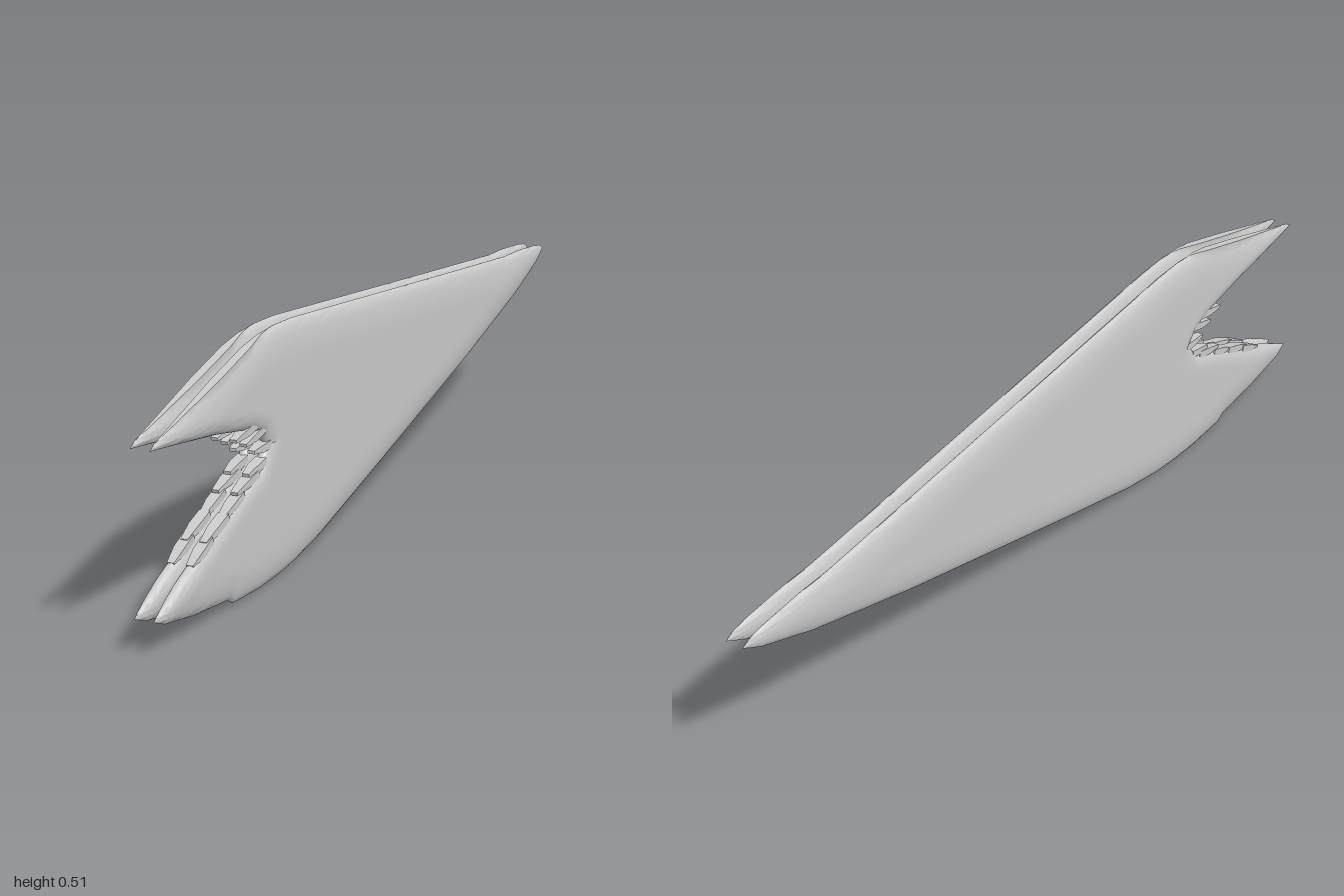
import * as THREE from 'three';
import { toCreasedNormals } from 'three/addons/utils/BufferGeometryUtils.js';

const HALF = 0.017;     // half thickness of one plate
const GAP = 0.02;       // plate centre distance from x = 0

// Outline curves as [z, y], running from back to front
const TOP = [[-1, 0.36], [-0.98, 0.37], [-0.94, 0.377], [-0.82, 0.388], [-0.75, 0.39], [-0.5, 0.415],
  [0, 0.466], [0.42, 0.509], [0.5, 0.512], [0.56, 0.508], [0.62, 0.495], [0.98, 0.407], [1, 0.397]];
const BOTTOM = [[-1, 0.36], [-0.95, 0.335], [-0.8, 0.285], [-0.5, 0.207], [0, 0.092], [0.3, 0.025],
  [0.42, 0.007], [0.5, 0.001], [0.58, 0], [0.69, 0.008], [0.71, 0.02], [0.85, 0.037], [0.96, 0.058], [1, 0.075]];
const NOTCH_TOP = [[0.545, 0.285], [0.56, 0.31], [0.61, 0.332], [0.75, 0.36], [0.92, 0.386], [1, 0.397]];
const NOTCH_LOW = [[0.545, 0.285], [0.57, 0.25], [0.65, 0.22], [0.8, 0.16], [0.9, 0.122], [1, 0.075]];
const BACK_TIP = [-1, 0.36];

// Height of a curve at z
function heightAt(curve, z) {
  for (let i = 1; i < curve.length; i++) {
    const [z0, y0] = curve[i - 1], [z1, y1] = curve[i];
    if (z <= z1) return y0 + (y1 - y0) * Math.max(0, (z - z0) / (z1 - z0));
  }
  return curve[curve.length - 1][1];
}

// Shortest distance from a point to a curve
function distanceTo(curve, z, y) {
  let best = Infinity;
  for (let i = 1; i < curve.length; i++) {
    const [z0, y0] = curve[i - 1], [z1, y1] = curve[i];
    const dz = z1 - z0, dy = y1 - y0;
    const t = THREE.MathUtils.clamp(((z - z0) * dz + (y - y0) * dy) / (dz * dz + dy * dy), 0, 1);
    best = Math.min(best, Math.hypot(z - z0 - dz * t, y - y0 - dy * t));
  }
  return best;
}

// Elliptical rounding: 0 at the edge, 1 once further in than radius
function rounding(distance, radius) {
  const u = 1 - Math.min(distance / radius, 1);
  return Math.sqrt(Math.max(0, 1 - u * u));
}

function halfThickness(z, y) {
  const rise = THREE.MathUtils.clamp((z - 0.52) / 0.1, 0, 1) * THREE.MathUtils.clamp((1 - z) / 0.25, 0, 1);
  // the upper fork has a blunt, flat top edge
  const top = Math.max(rounding(distanceTo(TOP, z, y), 0.075), 0.55 * rise);
  const low = rounding(distanceTo(BOTTOM, z, y), 0.075);
  const notch = Math.min(rounding(distanceTo(NOTCH_TOP, z, y), 0.035), rounding(distanceTo(NOTCH_LOW, z, y), 0.035));
  return HALF * top * low * notch;
}

// Closed loft along z between a lower and an upper curve
function lobeGeometry(lower, upper) {
  const stations = [];
  for (let i = 0; i <= 80; i++) stations.push(-Math.cos(Math.PI * i / 80));
  for (const [z] of [...lower, ...upper]) stations.push(z);
  const zs = [...new Set(stations.map(z => Math.round(z * 1000) / 1000))].sort((a, b) => a - b);
  const N = 18, ring = 2 * (N + 1), positions = [], index = [];
  for (const z of zs) {
    const lo = heightAt(lower, z), hi = heightAt(upper, z);
    for (let j = 0; j < ring; j++) {
      const k = j <= N ? j : ring - 1 - j;
      const y = lo + (hi - lo) * (1 - Math.cos(Math.PI * k / N)) / 2;
      positions.push((j <= N ? 1 : -1) * halfThickness(z, y), y, z);
    }
  }
  for (let i = 0; i < zs.length - 1; i++) {
    for (let j = 0; j < ring; j++) {
      const a = i * ring + j, b = i * ring + (j + 1) % ring;
      index.push(a, b, a + ring, b, b + ring, a + ring);
    }
  }
  const geometry = new THREE.BufferGeometry();
  geometry.setAttribute('position', new THREE.Float32BufferAttribute(positions, 3));
  geometry.setIndex(index);
  geometry.computeVertexNormals();
  return toCreasedNormals(geometry, 0.7);
}

// Thin slab, pinched toward its front end
function scaleGeometry() {
  const geometry = new THREE.BoxGeometry(0.023, 0.016, 0.1, 1, 1, 2);
  const p = geometry.attributes.position;
  for (let i = 0; i < p.count; i++) {
    if (p.getZ(i) > 0.01) {
      p.setX(i, p.getX(i) * 0.65);
      p.setY(i, p.getY(i) * 0.4);
    }
  }
  return toCreasedNormals(geometry, 0.4);
}

export function createModel() {
  const model = new THREE.Group();
  model.name = 'forkedBladePair';
  const material = new THREE.MeshStandardMaterial({ color: 0xcccccc, side: THREE.DoubleSide });

  const upperLobe = lobeGeometry([BACK_TIP, ...NOTCH_TOP], TOP);
  const lowerLobe = lobeGeometry(BOTTOM, [BACK_TIP, ...NOTCH_LOW]);
  const scale = scaleGeometry();

  // Notch scales: z, y, tilt, length factor
  const scales = [[0.63, 0.333, 0.15, 0.9], [0.595, 0.315, 0.2, 0.8], [0.565, 0.284, 0, 0.7],
    [0.59, 0.25, 0.15, 0.7], [0.63, 0.231, 0.2, 0.9], [0.69, 0.203, 0.3, 0.8],
    [0.76, 0.177, 0.3, 0.9], [0.82, 0.15, 0.38, 0.8]];

  for (const side of [-1, 1]) {
    const plate = new THREE.Group();
    plate.name = side > 0 ? 'leftBlade' : 'rightBlade';
    plate.position.x = side * GAP;

    const add = (name, geometry) => {
      const mesh = new THREE.Mesh(geometry, material);
      mesh.name = name;
      plate.add(mesh);
      return mesh;
    };
    add('upperFork', upperLobe);
    add('lowerFork', lowerLobe);
    for (const [z, y, tilt, length] of scales) {
      const mesh = add('notchScale', scale);
      mesh.position.set(0, y, z);
      mesh.rotation.x = tilt;
      mesh.scale.z = length;
    }
    model.add(plate);
  }
  return model;
}
